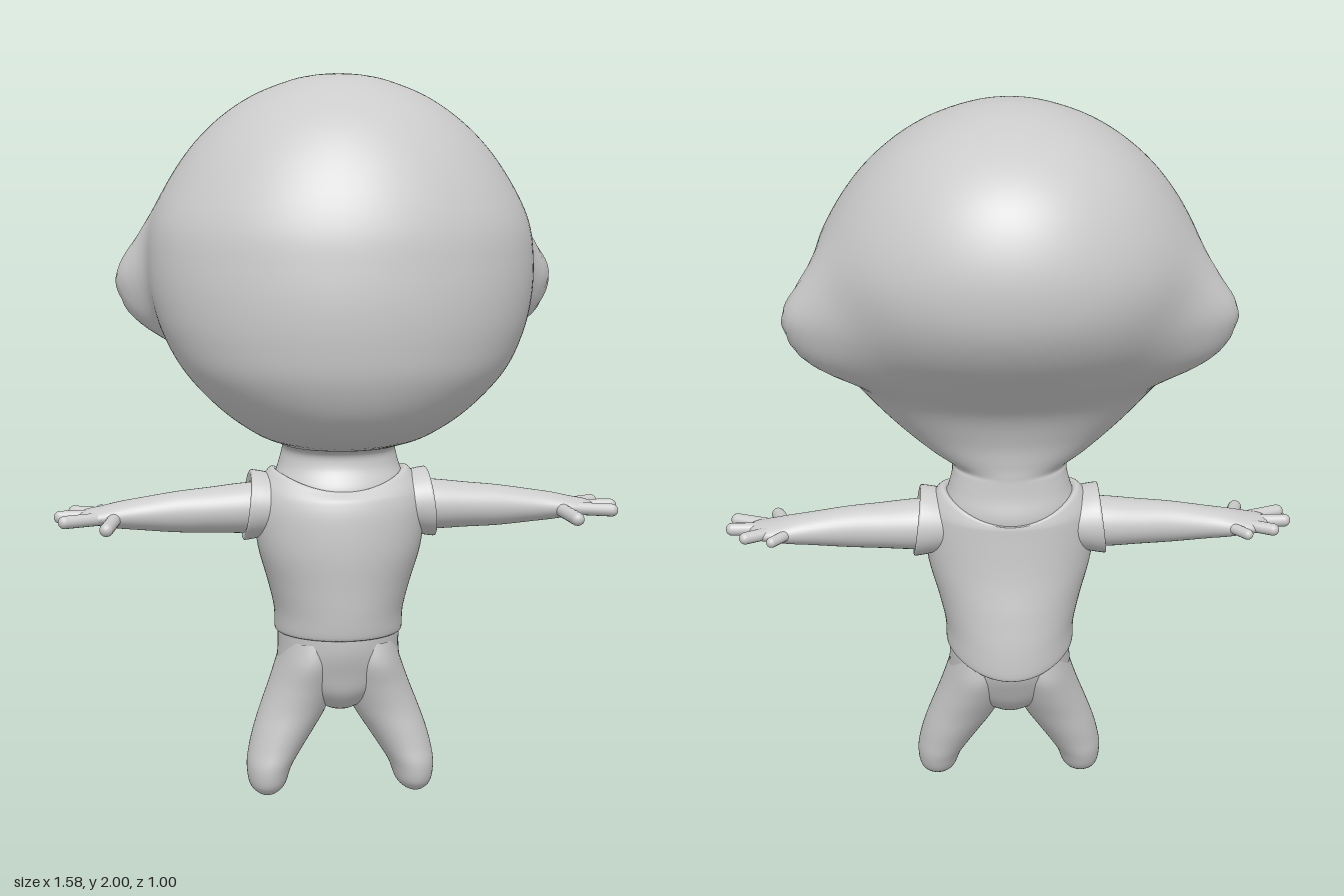
import * as THREE from 'three';
import { mergeVertices } from 'three/addons/utils/BufferGeometryUtils.js';

const material = new THREE.MeshStandardMaterial({ color: 0xcccccc, side: THREE.DoubleSide });

// Catmull-Rom value between b and c
function spline(a, b, c, d, t) {
  const cubic = 3 * (b - c) + d - a;
  const square = 2 * a - 5 * b + 4 * c - d;
  return b + 0.5 * t * (c - a + t * (square + t * cubic));
}

// Smooth loft through rings [y, halfWidth, zFront, zBack, zWidest, xCentre], listed upwards.
// warp(v, s) may move each point; s runs from -1 (back) to 1 (front).
function loft(rings, { sides = 40, steps = 5, warp } = {}) {
  const R = rings.map(([y, w, zf, zb, zc = (zf + zb) / 2, cx = 0]) => [y, w, zf, zb, zc, cx]);
  const rows = [];
  for (let i = 0; i < R.length - 1; i++) {
    const a = R[Math.max(i - 1, 0)], b = R[i], c = R[i + 1], d = R[Math.min(i + 2, R.length - 1)];
    const last = i === R.length - 2 ? steps : steps - 1;
    for (let k = 0; k <= last; k++) {
      rows.push(b.map((value, j) => spline(a[j], value, c[j], d[j], k / steps)));
    }
  }
  const pos = [], index = [], v = new THREE.Vector3();
  rows.forEach(([y, w, zf, zb, zc, cx], r) => {
    for (let i = 0; i < sides; i++) {
      const a = (i / sides) * Math.PI * 2, s = Math.sin(a);
      v.set(cx + Math.max(w, 0) * Math.cos(a), y, zc + s * (s > 0 ? zf - zc : zc - zb));
      if (warp) warp(v, s);
      pos.push(v.x, v.y, v.z);
      if (r < rows.length - 1) {
        const p = r * sides + i, q = r * sides + (i + 1) % sides;
        index.push(p, p + sides, q, q, p + sides, q + sides);
      }
    }
  });
  let g = new THREE.BufferGeometry();
  g.setAttribute('position', new THREE.Float32BufferAttribute(pos, 3));
  g.setIndex(index);
  g = mergeVertices(g, 1e-5);
  g.computeVertexNormals();
  return g;
}

// Mirrored copy across x = 0 with the winding corrected
function mirrored(geometry) {
  const g = geometry.clone().scale(-1, 1, 1), ix = g.index.array;
  for (let i = 0; i < ix.length; i += 3) [ix[i], ix[i + 1]] = [ix[i + 1], ix[i]];
  return g;
}

function add(parent, name, geometry) {
  const mesh = new THREE.Mesh(geometry, material);
  mesh.name = name;
  parent.add(mesh);
}

function addPair(parent, name, geometry) {
  add(parent, 'left' + name, geometry);
  add(parent, 'right' + name, mirrored(geometry));
}

// Rounded finger from one point to another
function finger(from, to, radius) {
  const a = new THREE.Vector3(...from), b = new THREE.Vector3(...to);
  const dir = b.clone().sub(a), len = dir.length() - radius;
  const g = new THREE.CapsuleGeometry(radius, len, 6, 14);
  g.translate(0, len / 2, 0);
  g.applyQuaternion(new THREE.Quaternion().setFromUnitVectors(new THREE.Vector3(0, 1, 0), dir.normalize()));
  return g.translate(a.x, a.y, a.z);
}

// Ears swell out of the sides of the head, steeper on their front
function earBump(v) {
  const dy = v.y - 1.42, dz = v.z + 0.115;
  const fy = dy > 0 ? (dy / 0.14) ** 2 : (dy / 0.165) ** 4;
  const fz = (dz / (dz > 0 ? 0.08 : 0.12)) ** 2;
  const side = THREE.MathUtils.smoothstep(Math.abs(v.x), 0.2, 0.42);
  v.x += Math.sign(v.x) * 0.118 * side * Math.exp(-fy - fz);
}

// Shirt collar dips at front and back, hem drops at the back
function shirtEdges(v, s) {
  const collar = THREE.MathUtils.clamp((v.y - 0.85) / 0.07, 0, 1);
  const hem = THREE.MathUtils.clamp((0.6 - v.y) / 0.14, 0, 1);
  v.y -= collar * s * s * (s > 0 ? 0.05 : 0.06);
  if (s < 0) v.y -= hem * s * s * 0.05;
}

export function createModel() {
  const model = new THREE.Group();
  model.name = 'bigHeadedFigure';

  // Head, ears and neck in one skin
  add(model, 'headAndNeck', loft([
    [0.8, 0.17, 0.13, -0.165, 0],
    [0.87, 0.185, 0.13, -0.178, -0.02],
    [0.93, 0.168, 0.1, -0.167, -0.03],
    [0.975, 0.158, 0.11, -0.163, -0.02],
    [0.995, 0.17, 0.21, -0.163, 0.02],
    [1.03, 0.24, 0.33, -0.165, 0.07],
    [1.1, 0.335, 0.42, -0.178, 0.11],
    [1.2, 0.43, 0.475, -0.225, 0.12],
    [1.3, 0.487, 0.495, -0.325, 0.09],
    [1.4, 0.517, 0.5, -0.42, 0.06],
    [1.5, 0.525, 0.492, -0.478, 0.04],
    [1.6, 0.515, 0.475, -0.497, 0.02],
    [1.7, 0.472, 0.436, -0.485, 0],
    [1.8, 0.405, 0.374, -0.443, -0.01],
    [1.88, 0.325, 0.3, -0.375, -0.02],
    [1.94, 0.235, 0.21, -0.28, -0.02],
    [1.98, 0.135, 0.12, -0.165, -0.02],
    [1.995, 0.065, 0.045, -0.085, -0.02],
    [2.0, 0, -0.02, -0.02, -0.02],
  ], { sides: 112, steps: 6, warp: earBump }));

  // Shirt body with folded hem and collar
  add(model, 'shirt', loft([
    [0.468, 0.165, 0.14, -0.205],
    [0.46, 0.178, 0.155, -0.226],
    [0.52, 0.181, 0.165, -0.226],
    [0.6, 0.2, 0.172, -0.213],
    [0.7, 0.228, 0.18, -0.197],
    [0.8, 0.238, 0.176, -0.19],
    [0.86, 0.23, 0.16, -0.188],
    [0.9, 0.208, 0.145, -0.187],
    [0.92, 0.188, 0.135, -0.185],
    [0.91, 0.172, 0.12, -0.172],
  ], { sides: 64, warp: shirtEdges }));

  // Short sleeves, lofted upright then laid along x
  addPair(model, 'Sleeve', loft([
    [0.1, 0.07, 0.07, -0.1],
    [0.18, 0.084, 0.085, -0.12],
    [0.24, 0.096, 0.088, -0.128],
    [0.258, 0.094, 0.085, -0.125],
    [0.254, 0.065, 0.055, -0.095],
  ], { warp: v => { v.y += v.x * 0.12; } }).rotateZ(-Math.PI / 2).translate(0, 0.815, 0));

  // Arms running into flat palms
  addPair(model, 'Arm', loft([
    [0.15, 0.07, 0.05, -0.1],
    [0.26, 0.07, 0.05, -0.1],
    [0.36, 0.063, 0.044, -0.09],
    [0.45, 0.057, 0.038, -0.08],
    [0.55, 0.045, 0.034, -0.077],
    [0.61, 0.037, 0.036, -0.08],
    [0.66, 0.027, 0.04, -0.08],
    [0.7, 0.021, 0.035, -0.07],
    [0.72, 0.012, 0.022, -0.05],
    [0.725, 0, -0.015, -0.015],
  ], { warp: v => { v.x += 0.035 * v.y; } }).rotateZ(-Math.PI / 2).translate(0, 0.815, 0));

  // Four fingers and a thumb on each hand
  [
    ['LittleFinger', [0.62, 0.795, -0.065], [0.668, 0.793, -0.12], 0.015],
    ['RingFinger', [0.67, 0.795, -0.05], [0.747, 0.795, -0.09], 0.017],
    ['MiddleFinger', [0.68, 0.793, -0.015], [0.79, 0.792, -0.012], 0.018],
    ['IndexFinger', [0.67, 0.79, 0.02], [0.778, 0.79, 0.065], 0.018],
    ['Thumb', [0.625, 0.788, 0.02], [0.655, 0.776, 0.137], 0.019],
  ].forEach(([name, from, to, r]) => addPair(model, name, finger(from, to, r)));

  // Hips closing at the crotch
  add(model, 'hips', loft([
    [0.23, 0, -0.01, -0.01],
    [0.245, 0.05, 0.055, -0.085],
    [0.29, 0.12, 0.1, -0.145],
    [0.35, 0.168, 0.122, -0.183],
    [0.42, 0.17, 0.143, -0.213],
    [0.5, 0.17, 0.148, -0.213],
  ], { sides: 56 }));

  // Splayed legs with rounded feet
  addPair(model, 'Leg', loft([
    [0, 0, 0.04, 0.04, 0.04, 0.21],
    [0.006, 0.026, 0.068, 0.0, 0.03, 0.209],
    [0.03, 0.05, 0.094, -0.052, 0.02, 0.207],
    [0.08, 0.063, 0.104, -0.078, 0.012, 0.201],
    [0.13, 0.075, 0.1, -0.094, 0.003, 0.182],
    [0.18, 0.085, 0.099, -0.112, -0.006, 0.159],
    [0.24, 0.093, 0.1, -0.134, -0.017, 0.13],
    [0.31, 0.092, 0.112, -0.165, -0.025, 0.104],
    [0.38, 0.084, 0.128, -0.19, -0.03, 0.088],
    [0.44, 0.075, 0.12, -0.19, -0.03, 0.08],
  ], { sides: 48 }));

  return model;
}
